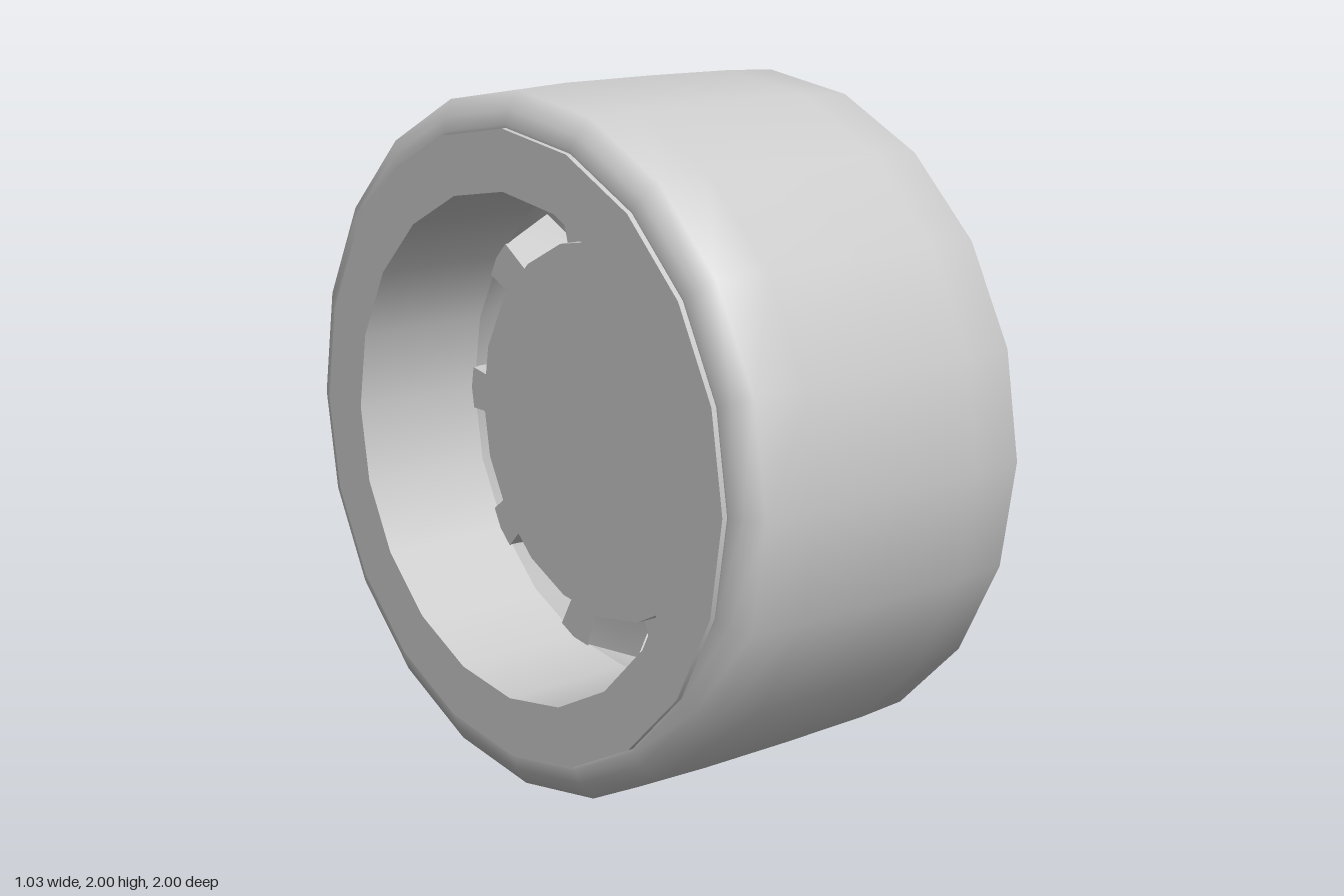
import * as THREE from 'three';
import { mergeGeometries, toCreasedNormals } from 'three/addons/utils/BufferGeometryUtils.js';

const SIDES = 20;
const grey = new THREE.MeshStandardMaterial({ color: 0xcccccc });

// Revolve [radius, x] points about the x axis
function revolve(points, sides = SIDES) {
  const geo = new THREE.LatheGeometry(points.map(([r, x]) => new THREE.Vector2(r, x)), sides);
  return geo.rotateZ(-Math.PI / 2);
}

// Same, but with a sharp edge at every profile point
function revolveSharp(points, sides = SIDES) {
  return mergeGeometries(points.slice(1).map((p, i) => revolve([points[i], p], sides)));
}

// Right half of a Y spoke, hub to crotch: [side, radial, x] on the front, [side, radial] on the back
const FRONT = [
  [0.08, 0.115, 0.04], [0.05, 0.15, 0.06], [0.05, 0.24, 0.1], [0.1, 0.37, 0.135],
  [0.295, 0.81, 0.155], [0.245, 0.825, 0.155], [0.065, 0.485, 0.145], [0.035, 0.44, 0.14], [0, 0.43, 0.14],
];
const BACK = [
  [0.188, 0.26], [0.135, 0.29], [0.112, 0.335], [0.14, 0.4],
  [0.305, 0.7], [0.175, 0.74], [0.1, 0.53], [0.05, 0.475], [0, 0.46],
];
const BACK_X = -0.11;

function spokeGeometry() {
  const outline = (half, centre) => [
    centre, ...half, ...half.slice(0, -1).reverse().map(([s, ...rest]) => [-s, ...rest]),
  ];
  const front = outline(FRONT, [0, 0, 0.04]);
  const back = outline(BACK.map(([s, r]) => [s, r, BACK_X]), [0, 0, BACK_X]);
  const pos = [];
  const tri = (...corners) => corners.forEach(([s, r, x]) => pos.push(x, -r, s));
  const flat = (loop) => loop.map(([s, r]) => new THREE.Vector2(s, r));
  // caps
  for (const [a, b, c] of THREE.ShapeUtils.triangulateShape(flat(front), [])) tri(front[a], front[b], front[c]);
  for (const [a, b, c] of THREE.ShapeUtils.triangulateShape(flat(back), [])) tri(back[c], back[b], back[a]);
  // flared walls; the two hub edges meet the neighbouring spokes
  for (let i = 1; i < front.length - 1; i++) {
    tri(back[i], back[i + 1], front[i + 1]);
    tri(back[i], front[i + 1], front[i]);
  }
  const geo = new THREE.BufferGeometry();
  geo.setAttribute('position', new THREE.Float32BufferAttribute(pos, 3));
  return toCreasedNormals(geo, 0.6);
}

export function createModel() {
  const wheel = new THREE.Group();
  wheel.name = 'wheel';
  wheel.position.y = 1;
  const add = (name, geo) => {
    const mesh = new THREE.Mesh(geo, grey);
    mesh.name = name;
    wheel.add(mesh);
    return mesh;
  };

  // Wide smooth tyre
  add('tyre', revolve([
    [0.88, -0.5], [0.9, -0.508], [0.94, -0.497], [0.99, -0.465], [0.998, -0.3], [1, 0],
    [0.998, 0.3], [0.99, 0.465], [0.94, 0.497], [0.9, 0.51], [0.88, 0.505],
  ]));

  // Rim: front lip, deep barrel, step down to the narrow rear barrel, rear flange
  add('rim', revolveSharp([
    [0.89, 0.495], [0.89, 0.515], [0.87, 0.515], [0.86, 0.5], [0.85, 0.15],
    [0.72, -0.1], [0.72, -0.52], [0.89, -0.52], [0.89, -0.495],
  ]));

  // Five Y spokes
  const spoke = spokeGeometry();
  for (let i = 0; i < 5; i++) {
    add('spoke' + (i + 1), spoke).rotation.x = (i * Math.PI * 2) / 5;
  }

  // Hub collar and centre cap
  add('hubCollar', revolveSharp([
    [0.105, -0.1], [0.105, 0.06], [0.098, 0.072], [0.088, 0.072], [0.088, 0.055], [0, 0.055],
  ], 32));
  add('centreCap', revolveSharp([[0.082, 0.05], [0.082, 0.07], [0.077, 0.075], [0, 0.075]], 32));

  // Brake disc behind the spokes
  add('brakeDisc', revolveSharp([[0, -0.19], [0.55, -0.19], [0.55, -0.125], [0, -0.125]]));

  const model = new THREE.Group();
  model.add(wheel);
  return model;
}
